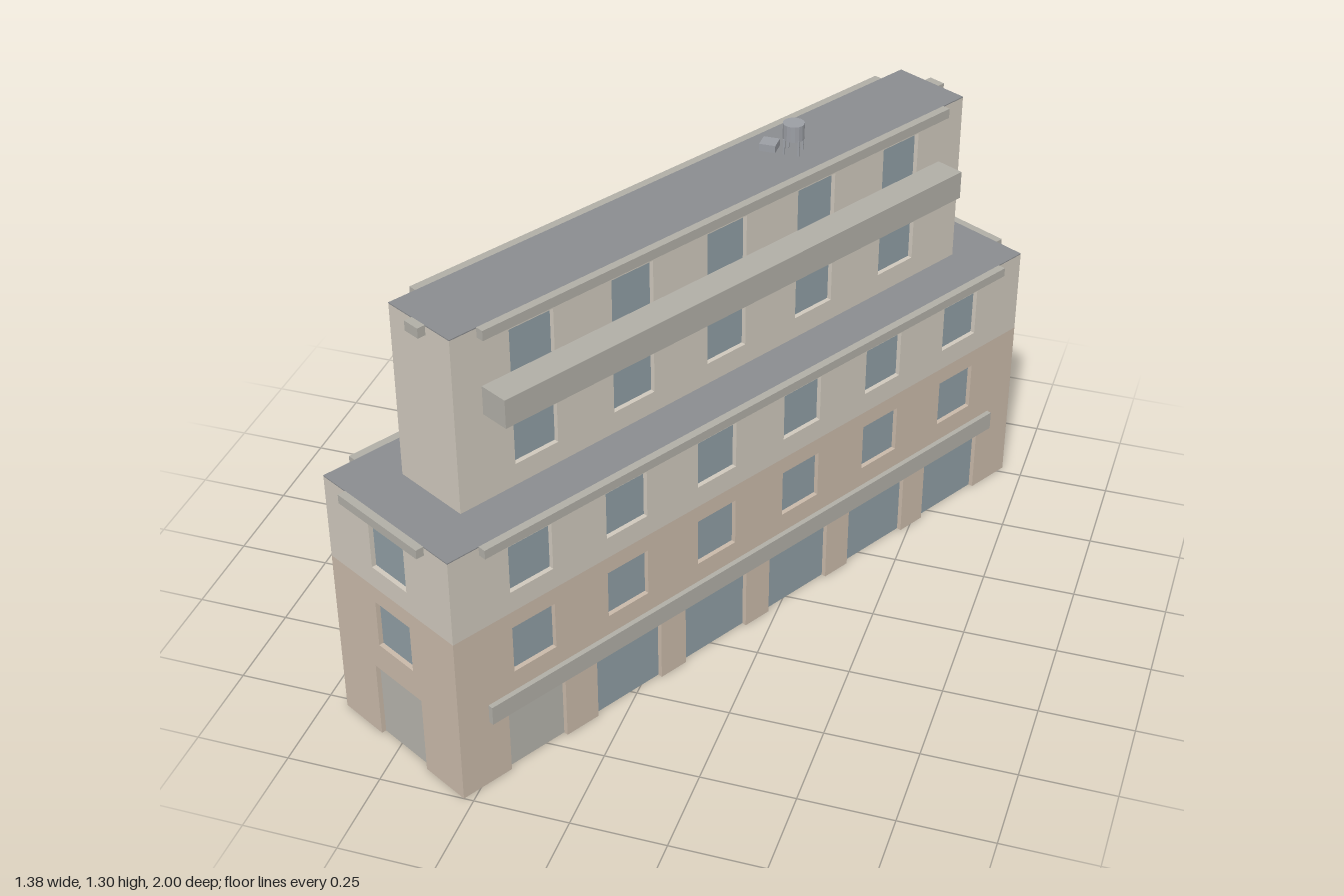
import * as THREE from 'three';

const FLOOR = 0.2425, DEPTH = 0.014, ROOF = 0.003;
const paint = (color) => new THREE.MeshStandardMaterial({ color, flatShading: true });

export function createModel() {
  const model = new THREE.Group();
  model.name = 'building';
  const mat = {
    lowerWall: paint(0xc9b9a9), upperWall: paint(0xcfc8bc), glass: paint(0x8f9da3),
    door: paint(0xb5b3ab), trim: paint(0xb0aea6), roof: paint(0x8a8c8f), metal: paint(0x9b9ea4),
  };

  function add(parent, name, geometry, material, x = 0, y = 0, z = 0) {
    const mesh = new THREE.Mesh(geometry, material);
    mesh.name = name;
    mesh.position.set(x, y, z);
    parent.add(mesh);
    return mesh;
  }

  // Box given by its base height, standing out from a wall face at z = 0
  function ledge(side, name, material, u, y0, y1, width, out) {
    add(side, name, new THREE.BoxGeometry(width, y1 - y0, out), material, u, (y0 + y1) / 2, out / 2);
  }

  // Wall sheet with recessed openings {u, w, y0, y1, mat}; those at y = 0 are notched into the bottom edge
  function wall(side, name, material, width, y0, y1, openings) {
    const shape = new THREE.Shape().moveTo(-width / 2, y0);
    for (const o of openings) {
      const l = o.u - o.w / 2, r = o.u + o.w / 2;
      if (o.y0 <= 0) {
        shape.lineTo(l, 0).lineTo(l, o.y1).lineTo(r, o.y1).lineTo(r, 0);
      } else {
        shape.holes.push(new THREE.Path().moveTo(l, o.y0).lineTo(l, o.y1).lineTo(r, o.y1).lineTo(r, o.y0).closePath());
      }
      add(side, o.y0 > 0 ? 'windowPane' : o.mat === mat.door ? 'door' : 'shopWindow',
        new THREE.PlaneGeometry(o.w, o.y1 - o.y0), o.mat, o.u, (o.y0 + o.y1) / 2, -DEPTH + 0.001);
    }
    shape.lineTo(width / 2, y0).lineTo(width / 2, y1).lineTo(-width / 2, y1).closePath();
    add(side, name, new THREE.ExtrudeGeometry(shape, { depth: DEPTH, bevelEnabled: false }), material, 0, 0, -DEPTH);
  }

  // Evenly spaced positions, centred on 0
  const spread = (n, gap) => Array.from({ length: n }, (_, i) => (i - (n - 1) / 2) * gap);
  const windows = (us, floor) => us.map((u) => (
    { u, w: 0.134, y0: floor * FLOOR + 0.06, y1: floor * FLOOR + 0.195, mat: mat.glass }));

  // Solid core, roof slab and four side groups: right, left, front, back
  function block(name, width, length, y0, y1) {
    const group = new THREE.Group();
    group.name = name;
    model.add(group);
    add(group, name + 'Core', new THREE.BoxGeometry(width - 2 * DEPTH, y1 - y0 - ROOF, length - 2 * DEPTH),
      mat.upperWall, 0, (y0 + y1 - ROOF) / 2, 0);
    add(group, name + 'Roof', new THREE.BoxGeometry(width, ROOF, length), mat.roof, 0, y1 - ROOF / 2, 0);
    return [['longSideA', 1, 0], ['longSideB', -1, 0], ['frontEnd', 0, 1], ['backEnd', 0, -1]].map(([n, x, z]) => {
      const side = new THREE.Group();
      side.name = n;
      side.position.set(x * width / 2, 0, z * length / 2);
      side.rotation.y = Math.atan2(x, z);
      group.add(side);
      return side;
    });
  }

  // Lower three storeys
  const W = 0.475, L = 2.019, H = 3 * FLOOR;
  const lower = block('lowerBlock', W, L, 0, H);
  lower.forEach((side, i) => {
    const long = i < 2, width = long ? L : W - 2 * DEPTH;
    const columns = long ? spread(6, 0.306) : [0];
    const ground = columns.map((u, k) => k === 0
      ? { u, w: 0.183, y0: 0, y1: long ? 0.205 : 0.222, mat: mat.door }
      : { u, w: 0.22, y0: 0, y1: 0.205, mat: mat.glass });
    wall(side, 'lowerWall', mat.lowerWall, width, 0, 2 * FLOOR, [...ground, ...windows(columns, 1)]);
    wall(side, 'thirdStoreyWall', mat.upperWall, width, 2 * FLOOR, H - ROOF, windows(columns, 2));
    ledge(side, 'cornice', mat.trim, 0, H - 0.025, H, long ? 1.834 : 0.3, 0.022);
  });

  // Set-back top two storeys
  const W2 = 0.222, L2 = 1.736, H2 = 5 * FLOOR;
  const upper = block('upperBlock', W2, L2, H, H2);
  upper.forEach((side, i) => {
    const long = i < 2, columns = long ? spread(5, 0.315) : [];
    wall(side, 'upperWall', mat.upperWall, long ? L2 : W2 - 2 * DEPTH, H, H2 - ROOF,
      [...windows(columns, 3), ...windows(columns, 4)]);
    ledge(side, 'topCornice', mat.trim, 0, H2 - 0.027, H2, long ? 1.58 : 0.048, 0.022);
  });

  // Shop fascia and long balcony on one long side
  ledge(lower[0], 'shopFascia', mat.trim, 0, 0.192, 0.245, 1.834, 0.014);
  ledge(upper[0], 'longBalcony', mat.trim, 0, 0.972, 1.05, 1.568, 0.082);

  // Stack of small balconies and a hanging sign box on the other
  for (let floor = 1; floor <= 4; floor++) {
    const y = floor * FLOOR + 0.003;
    ledge((floor < 3 ? lower : upper)[1], 'smallBalcony', mat.metal, 0, y, y + 0.073, 0.174, 0.079);
  }
  ledge(lower[1], 'signBox', mat.trim, -0.89, 0.245, 0.425, 0.059, 0.05);

  // The building stands at an angle; rooftop equipment is square to the axes
  model.children.forEach((g) => { g.rotation.y = -0.5; });
  add(model, 'roofVent', new THREE.BoxGeometry(0.043, 0.02, 0.043), mat.metal, 0.107, H2 + 0.01, -0.275);
  const tank = new THREE.Group();
  tank.name = 'waterTank';
  tank.position.set(0.17, H2, -0.275);
  model.add(tank);
  const barrel = new THREE.CylinderGeometry(0.028, 0.028, 0.043, 16);
  add(tank, 'tankBarrel', barrel, mat.metal, 0, 0.0615, 0);
  for (const x of [-0.019, 0.019]) {
    for (const z of [-0.019, 0.019]) {
      add(tank, 'tankLeg', new THREE.BoxGeometry(0.005, 0.042, 0.005), mat.metal, x, 0.021, z);
    }
  }
  return model;
}
